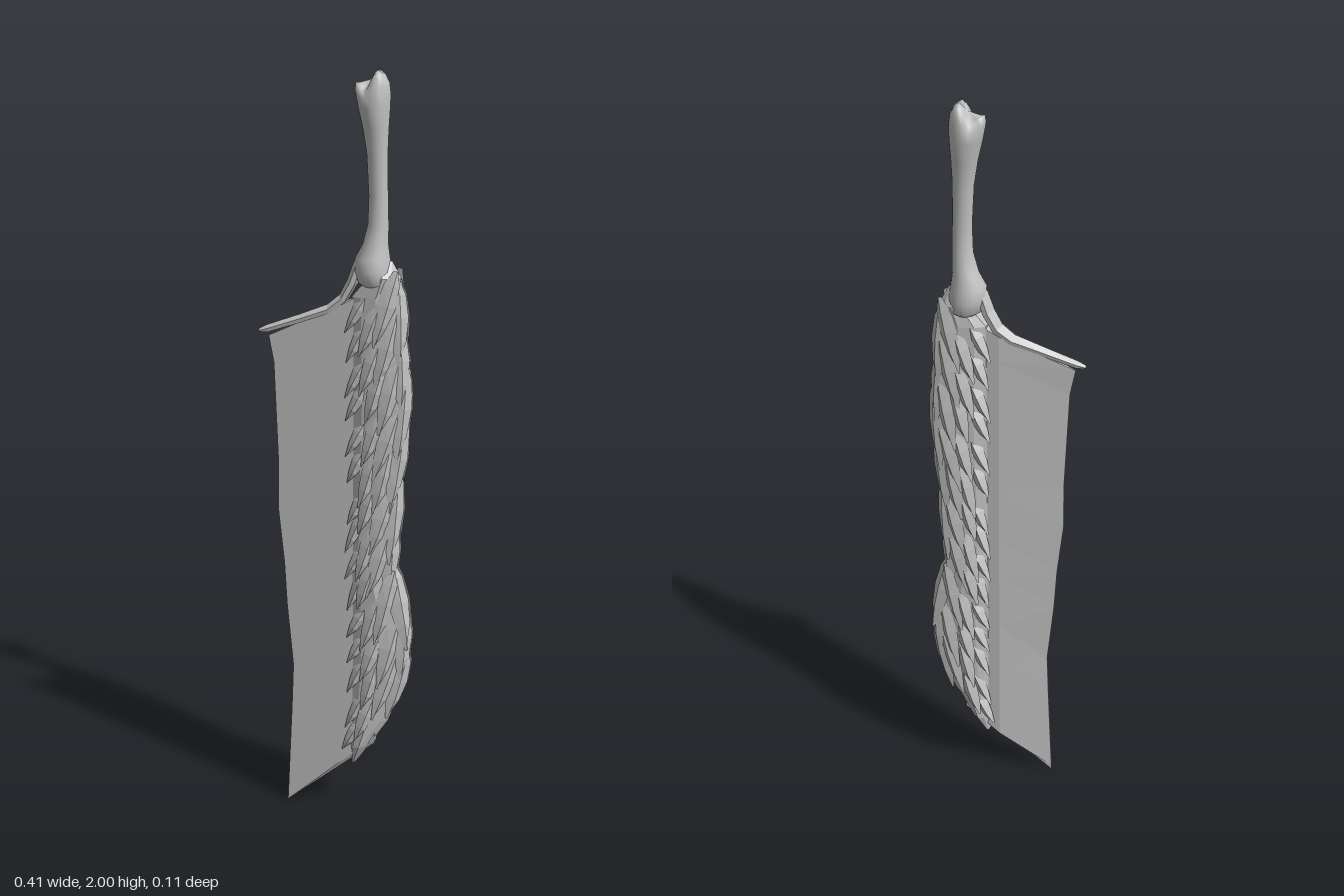
import * as THREE from 'three';

const steel = new THREE.MeshStandardMaterial({ color: 0xc2c2c2 });
steel.name = 'bone grey';

// Skin a list of equal-sized rings of [x, y, z], closed with a fan at both ends
function loft(rings, smooth = false) {
  const n = rings[0].length, pos = rings.flat(2), idx = [];
  for (let j = 0; j < rings.length - 1; j++) {
    for (let i = 0; i < n; i++) {
      const a = j * n + i, b = j * n + (i + 1) % n;
      idx.push(a, b, b + n, a, b + n, a + n);
    }
  }
  [0, rings.length - 1].forEach((j) => {
    const c = pos.length / 3;
    for (let k = 0; k < 3; k++) pos.push(rings[j].reduce((s, p) => s + p[k], 0) / n);
    for (let i = 0; i < n; i++) {
      const a = j * n + i, b = j * n + (i + 1) % n;
      if (j === 0) idx.push(b, a, c); else idx.push(a, b, c);
    }
  });
  // Turn the faces outward when the enclosed volume comes out negative
  const v = (i) => new THREE.Vector3(pos[i * 3], pos[i * 3 + 1], pos[i * 3 + 2]);
  let volume = 0;
  for (let i = 0; i < idx.length; i += 3) volume += v(idx[i]).dot(v(idx[i + 1]).cross(v(idx[i + 2])));
  if (volume < 0) idx.reverse();
  const g = new THREE.BufferGeometry();
  g.setAttribute('position', new THREE.Float32BufferAttribute(pos, 3));
  g.setIndex(idx);
  const out = smooth ? g : g.toNonIndexed();
  out.computeVertexNormals();
  return out;
}

function part(name, geometry) {
  const m = new THREE.Mesh(geometry, steel);
  m.name = name;
  return m;
}

// Linear lookup in a table of [key, value] with ascending keys
function look(table, t) {
  if (t <= table[0][0]) return table[0][1];
  for (let i = 1; i < table.length; i++) {
    const [a, va] = table[i - 1], [b, vb] = table[i];
    if (t <= b) return va + (vb - va) * (t - a) / (b - a);
  }
  return table[table.length - 1][1];
}

// Worn cutting edge and the bumpy outline of the scaled spine: [y, x]
const edge = [[0, -0.15], [0.3, -0.135], [0.42, -0.13], [0.6, -0.146], [0.72, -0.152],
  [0.87, -0.167], [1, -0.165], [1.27, -0.174], [1.34, -0.187]];
const spine = [[0.14, 0.045], [0.2, 0.085], [0.28, 0.135], [0.43, 0.188], [0.55, 0.198], [0.65, 0.175],
  [0.72, 0.145], [0.85, 0.16], [0.95, 0.16], [1.1, 0.18], [1.2, 0.188], [1.3, 0.175],
  [1.45, 0.163], [1.5, 0.152], [1.54, 0.13]];

function makeBlade() {
  const rows = [[0, 0], [0.014, 1], ...edge.slice(1).map(([y]) => [y, 1])];
  return loft(rows.map(([y, full]) => {
    const t = y / 1.34, x = look(edge, y);
    const yMid = 0.125 + t * 1.3, yBack = 0.21 + t * 1.27;
    const f = 0.016 + 0.007 * full, b = 0.013 - 0.032 * full;
    return [[x, y, 0.02], [0, yMid, f], [0.1, yBack, f], [0.1, yBack, b], [0, yMid, b], [x, y, 0.017]];
  }));
}

function makeGuard() {
  // x, y, half thickness, back z, front z
  const path = [[-0.212, 1.352, 0.004, 0.016, 0.024], [-0.19, 1.358, 0.009, 0.012, 0.026],
    [-0.1, 1.389, 0.01, 0, 0.026], [-0.03, 1.415, 0.011, -0.014, 0.026], [0.005, 1.443, 0.012, -0.02, 0.026],
    [0.028, 1.485, 0.013, -0.022, 0.025], [0.045, 1.535, 0.012, -0.02, 0.022]];
  return loft(path.map(([x, y, h, z0, z1], i) => {
    const p = path[Math.max(0, i - 1)], q = path[Math.min(path.length - 1, i + 1)];
    const d = Math.hypot(q[0] - p[0], q[1] - p[1]);
    const nx = -(q[1] - p[1]) / d * h, ny = (q[0] - p[0]) / d * h;
    const m = (z0 + z1) / 2;
    return [[x - nx, y - ny, z0], [x, y, z0 - 0.002], [x + nx, y + ny, m], [x, y, z1 + 0.002], [x - nx, y - ny, z1]];
  }));
}

function makeGrip() {
  // y, left x, right x, half depth
  const rows = [[1.475, 0.06, 0.115, 0.035], [1.485, 0.045, 0.128, 0.047], [1.515, 0.035, 0.13, 0.049],
    [1.545, 0.036, 0.125, 0.044], [1.58, 0.055, 0.12, 0.034], [1.63, 0.068, 0.12, 0.026],
    [1.7, 0.07, 0.118, 0.022], [1.8, 0.064, 0.116, 0.025], [1.86, 0.054, 0.118, 0.034],
    [1.91, 0.042, 0.121, 0.042], [1.945, 0.034, 0.122, 0.041], [1.965, 0.036, 0.119, 0.03], [1.972, 0.046, 0.108, 0.014]];
  // Two unequal knuckles with a saddle between them
  const knuckle = [[0.034, 0.005], [0.048, -0.006], [0.064, -0.022], [0.076, 0], [0.09, 0.026], [0.108, 0.016], [0.122, -0.005]];
  return loft(rows.map(([y, x0, x1, d]) => Array.from({ length: 24 }, (_, i) => {
    const a = i / 24 * Math.PI * 2, x = (x0 + x1) / 2 + Math.cos(a) * (x1 - x0) / 2;
    const lift = THREE.MathUtils.smoothstep(y, 1.9, 1.97);
    return [x, y + lift * look(knuckle, x), Math.sin(a) * d];
  })), true);
}

// Half depth of the scaled body across its width, u = 0 at the blade, 1 at the spine
const depth = [[0, 0.02], [0.2, 0.034], [0.5, 0.04], [0.8, 0.027], [1, 0.006]];

function makeBody() {
  return loft(spine.map(([y, r], i) => {
    const l = y > 1.45 ? 0.075 : 0.032;
    const k = i === 0 || i === spine.length - 1 ? 0.4 : 1;
    const side = depth.map(([u, z]) => [l + u * (r - l), y, z * k]);
    return [...side, ...side.map(([x, yy, z]) => [x, yy, -z]).reverse()];
  }));
}

// Ridged leaf of unit length and width, pointing down
function makeScale() {
  const stations = [[0.5, 0.12, 0.1], [0.32, 0.4, 0.4], [0.05, 0.5, 0.6], [-0.22, 0.36, 0.5], [-0.5, 0.015, 0.12]];
  return loft(stations.map(([y, w, h], i) => {
    const bend = i === 4 ? 0.06 : 0;
    return [[-w - bend, y, 0], [0.08 - bend, y, h], [w - bend, y, 0], [-bend, y, -0.3 * h]];
  }));
}

function makeScales(geometry) {
  const side = new THREE.Group();
  let seed = 11;
  const rand = () => (seed = (seed * 16807) % 2147483647) / 2147483647 - 0.5;
  // u across the body, length, width, lean, step down the body
  const columns = [[0.1, 0.13, 0.034, -0.42, 0.085], [0.36, 0.17, 0.042, -0.34, 0.1],
    [0.64, 0.2, 0.05, -0.28, 0.115], [0.87, 0.24, 0.056, 0, 0.125]];
  columns.forEach(([u, len, wid, lean, step], c) => {
    for (let y = 1.43 - (c % 2) * 0.04; y > 0.2; y -= step) {
      const yy = y + rand() * 0.03, r = look(spine, yy);
      const l = len * (1 + rand() * 0.3);
      const x = 0.038 + u * (r - 0.038) + rand() * 0.008;
      const slope = Math.atan((look(spine, yy + 0.08) - look(spine, yy - 0.08)) / 0.16);
      const angle = c === 3 ? -slope * 0.8 - 0.06 : lean + rand() * 0.15;
      const tipX = x + Math.sin(angle) * l / 2, tipY = yy - Math.cos(angle) * l / 2;
      if (tipY < 0.14 + Math.max(0, tipX - 0.04) * 1.2) continue;
      const s = part('scale', geometry);
      s.position.set(x, yy, look(depth, u) + 0.003);
      s.rotation.set(-0.09 + rand() * 0.05, (u - 0.35) * 0.9, angle, 'ZYX');
      s.scale.set(wid, l, 0.02);
      side.add(s);
    }
  });
  return side;
}

export function createModel() {
  const model = new THREE.Group();
  model.name = 'cleaver';
  model.add(part('blade', makeBlade()), part('guard', makeGuard()),
    part('grip', makeGrip()), part('scaledSpine', makeBody()));
  // Scales on both faces, mirrored in z
  const geometry = makeScale();
  [['frontScales', 1], ['backScales', -1]].forEach(([name, s]) => {
    const side = makeScales(geometry);
    side.name = name;
    side.scale.z = s;
    model.add(side);
  });
  return model;
}
